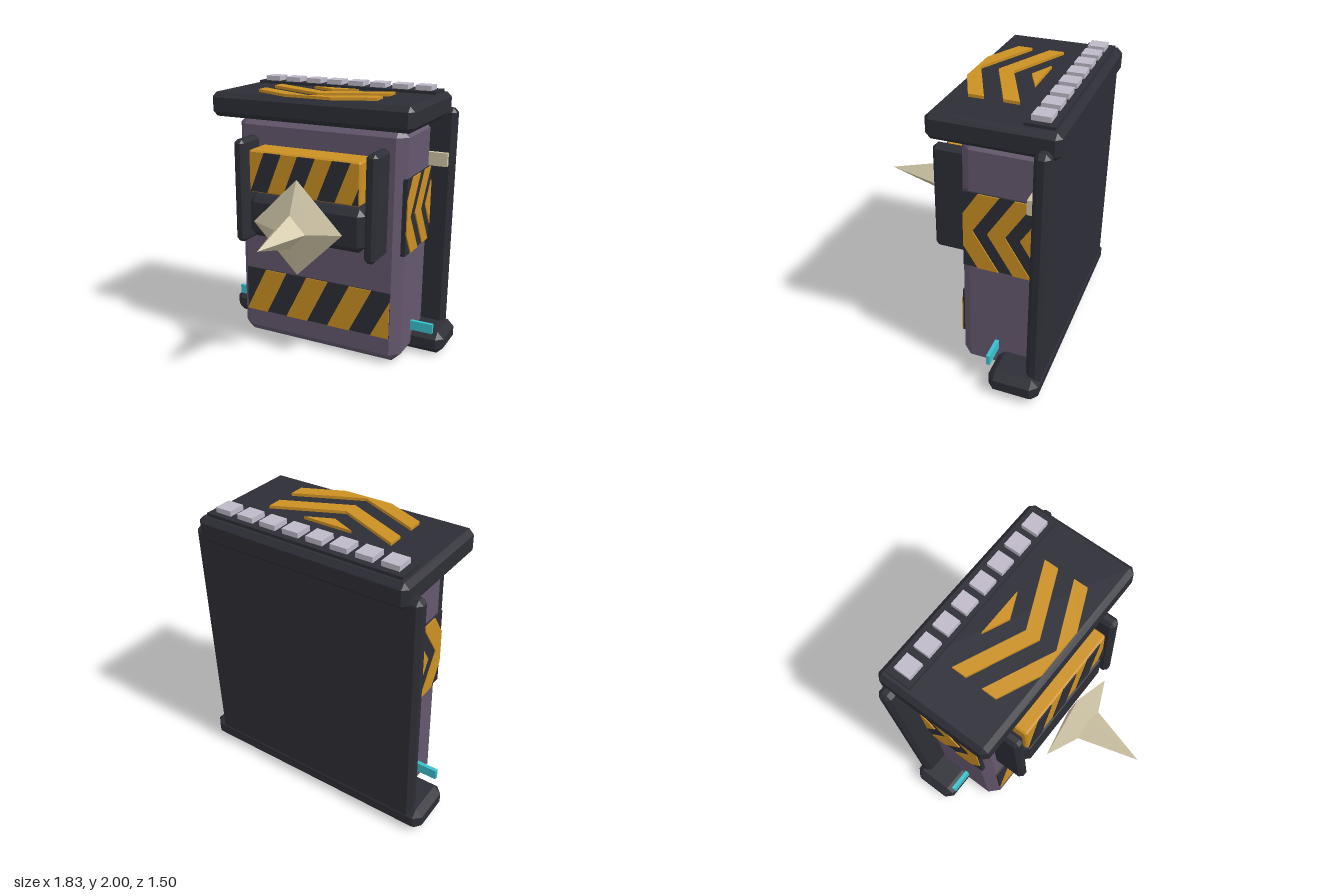
import * as THREE from 'three';
import { ConvexGeometry } from 'three/addons/geometries/ConvexGeometry.js';

const colour = (name, hex) => {
  const m = new THREE.MeshStandardMaterial({ color: hex });
  m.name = name;
  return m;
};

// Box given by its min/max per axis, with every edge and corner cut by c
function chamferBox([x0, x1], [y0, y1], [z0, z1], c) {
  const half = [(x1 - x0) / 2, (y1 - y0) / 2, (z1 - z0) / 2];
  const pts = [];
  for (const sx of [-1, 1]) for (const sy of [-1, 1]) for (const sz of [-1, 1])
    for (let full = 0; full < 3; full++) {
      const h = half.map((v, i) => (i === full ? v : v - c));
      pts.push(new THREE.Vector3(sx * h[0], sy * h[1], sz * h[2]));
    }
  return new ConvexGeometry(pts).translate((x0 + x1) / 2, (y0 + y1) / 2, (z0 + z1) / 2);
}

function plainBox([x0, x1], [y0, y1], [z0, z1]) {
  return new THREE.BoxGeometry(x1 - x0, y1 - y0, z1 - z0)
    .translate((x0 + x1) / 2, (y0 + y1) / 2, (z0 + z1) / 2);
}

// Clip a convex polygon to a rectangle
function clip(poly, [u0, u1], [v0, v1]) {
  for (const [axis, limit, sign] of [[0, u0, 1], [0, u1, -1], [1, v0, 1], [1, v1, -1]]) {
    const out = [];
    poly.forEach((p, i) => {
      const q = poly[(i + 1) % poly.length];
      const dp = sign * (p[axis] - limit), dq = sign * (q[axis] - limit);
      if (dp >= 0) out.push(p);
      if (dp * dq < 0) {
        const t = dp / (dp - dq);
        out.push([p[0] + (q[0] - p[0]) * t, p[1] + (q[1] - p[1]) * t]);
      }
    });
    poly = out;
  }
  return poly;
}

// Thin raised shapes in the local xy plane
function plates(polys, depth) {
  const shapes = polys.filter(p => p.length > 2)
    .map(p => new THREE.Shape(p.map(([x, y]) => new THREE.Vector2(x, y))));
  return new THREE.ExtrudeGeometry(shapes, { depth, bevelEnabled: false });
}

// Slanted hazard stripes inside a rectangle
function slants(count, start, pitch, width, lean, [u0, u1], [v0, v1]) {
  return Array.from({ length: count }, (_, i) => {
    const a = start + i * pitch;
    return clip([[a, v0], [a + width, v0], [a + width + lean, v1], [a + lean, v1]], [u0, u1], [v0, v1]);
  });
}

// V bands with tips on u = 0, as mirrored halves
function chevrons(bands, slope, reach, vRange) {
  return bands.flatMap(([a, b]) => [-1, 1].map(s =>
    clip([[0, a], [s * reach, a + slope * reach], [s * reach, b + slope * reach], [0, b]],
      [-reach, reach], vRange)));
}

export function createModel() {
  const model = new THREE.Group();
  const dark = colour('charcoal', 0x2d2e36);
  const purple = colour('dusty purple', 0x65586e);
  const yellow = colour('hazard yellow', 0xcb9023);
  const pale = colour('pale lilac', 0xbfb9c8);
  const bone = colour('bone', 0xcfc5a6);
  const cyan = colour('cyan', 0x38c0cc);
  const add = (name, geometry, material) => {
    const mesh = new THREE.Mesh(geometry, material);
    mesh.name = name;
    model.add(mesh);
    return mesh;
  };

  // Main casing
  add('body', chamferBox([-0.67, 0.67], [0, 1.77], [-0.65, -0.08], 0.07), purple);
  add('backPlate', chamferBox([-0.845, 0.845], [0.05, 1.84], [-0.71, -0.61], 0.03), dark);
  add('base', chamferBox([-0.915, 0.915], [0.005, 0.18], [-0.715, -0.36], 0.05), dark);
  add('lid', chamferBox([-0.775, 0.775], [1.77, 1.945], [-0.75, 0.095], 0.035), dark);

  // Lid top: key strip, keys and chevrons
  add('keyStrip', plainBox([-0.72, 0.72], [1.94, 1.965], [-0.7, -0.51]), dark);
  for (let i = 0; i < 8; i++) {
    const x = (i - 3.5) * 0.176;
    add('key', plainBox([x - 0.06, x + 0.06], [1.96, 2], [-0.66, -0.54]), pale);
  }
  const lidMarks = chevrons([[-0.14, -0.035], [0.09, 0.195], [0.32, 0.6]], 0.445, 0.46, [-0.06, 0.4]);
  add('lidChevrons', plates(lidMarks, 0.022).rotateX(-Math.PI / 2).translate(0, 1.943, 0), yellow);

  // Lower front hazard panel
  add('lowerPanel', plainBox([-0.6, 0.6], [0.215, 0.57], [-0.09, -0.067]), dark);
  const lower = slants(4, -0.605, 0.354, 0.18, 0.175, [-0.6, 0.6], [0.215, 0.57]);
  add('lowerStripes', plates(lower, 0.008).translate(0, 0, -0.068), yellow);

  // Upper front hazard panel
  add('upperPanel', chamferBox([-0.44, 0.435], [1.25, 1.56], [-0.1, 0.127], 0.012), yellow);
  const upper = slants(4, -0.425, 0.268, 0.135, 0.115, [-0.43, 0.425], [1.26, 1.55]);
  add('upperStripes', plates(upper, 0.009).translate(0, 0, 0.126), dark);

  // Spike and its mount
  add('spikeMount', chamferBox([-0.46, 0.46], [0.905, 1.22], [-0.1, 0.125], 0.045), dark);
  const profile = [[0, 0.15], [0.35, 0.22], [0.122, 0.325], [0, 0.75]]
    .map(([r, z]) => new THREE.Vector2(r, z));
  const spike = new THREE.LatheGeometry(profile, 4).toNonIndexed();
  spike.computeVertexNormals();
  add('spike', spike.rotateX(Math.PI / 2).translate(0, 1.063, 0), bone);

  for (const s of [-1, 1]) {
    const span = (a, b) => (s > 0 ? [a, b] : [-b, -a]);
    // Upright front rails
    add('rail', chamferBox(span(0.475, 0.56), [0.855, 1.625], [-0.1, 0.15], 0.025), dark);
    // Side chevron panels, tips towards the front
    add('sidePanel', plainBox(span(0.65, 0.683), [0.855, 1.415], [-0.61, -0.113]), dark);
    const marks = chevrons([[0.037, 0.18], [0.28, 0.4], [0.5, 0.8]], 0.64, 0.28, [0.115, 0.608])
      .map(p => p.map(([across, along]) => [s * along, across + 1.135]));
    add('sideChevrons', plates(marks, 0.009).rotateY(s * Math.PI / 2).translate(s * 0.682, 0, 0), yellow);
    // Glowing side tabs
    add('sideTab', plainBox(span(0.65, 0.845), [0.19, 0.265], [-0.362, -0.335]), cyan);
  }

  // Small tag on one side
  add('tag', plainBox([0.65, 0.81], [1.42, 1.52], [-0.62, -0.575]), bone);

  return model;
}
